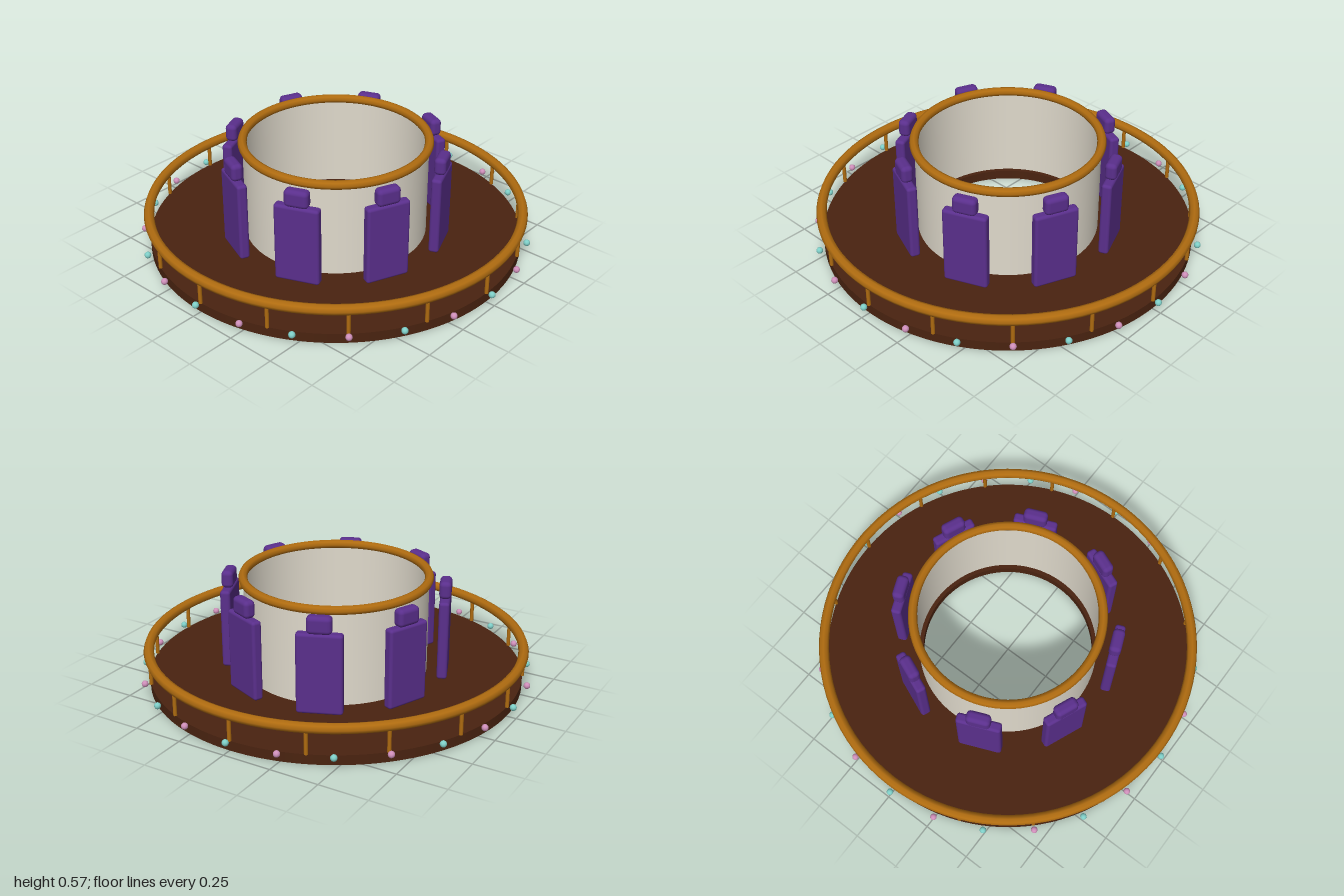
import * as THREE from 'three';
import { RoundedBoxGeometry } from 'three/addons/geometries/RoundedBoxGeometry.js';

function material(name, color, side = THREE.FrontSide) {
  const m = new THREE.MeshStandardMaterial({ color, side });
  m.name = name;
  return m;
}

export function createModel() {
  const model = new THREE.Group();
  model.name = 'ringPlatform';

  const wood = material('dark brown wood', 0x4a2310);
  const brass = material('brass', 0xb06c10);
  const purple = material('purple upholstery', 0x5a2f8c);
  const cream = material('cream wall', 0xe0dacc, THREE.DoubleSide);
  const teal = material('teal bulb', 0x7fcfc8);
  const pink = material('pink bulb', 0xcf8fba);

  function add(name, geometry, mat, parent = model) {
    const mesh = new THREE.Mesh(geometry, mat);
    mesh.name = name;
    parent.add(mesh);
    return mesh;
  }

  // Places count copies around the vertical axis, each facing outwards
  function around(count, offset, build) {
    for (let i = 0; i < count; i++) {
      const spoke = new THREE.Group();
      spoke.rotation.y = ((i + offset) / count) * Math.PI * 2;
      build(spoke, i);
      model.add(spoke);
    }
  }

  // Horizontal ring of round bar
  function ring(name, radius, tube, y) {
    const geometry = new THREE.TorusGeometry(radius, tube, 8, 96).rotateX(Math.PI / 2);
    add(name, geometry, brass).position.y = y;
  }

  // Floor: flat disc with a round hole
  const floorShape = new THREE.Shape().absarc(0, 0, 0.95, 0, Math.PI * 2);
  floorShape.holes.push(new THREE.Path().absarc(0, 0, 0.445, 0, Math.PI * 2, true));
  const floor = new THREE.ExtrudeGeometry(floorShape, {
    depth: 0.05, bevelEnabled: false, curveSegments: 96,
  }).rotateX(-Math.PI / 2);
  add('floor', floor, wood);

  // Central open drum with its rim
  const drum = new THREE.CylinderGeometry(0.466, 0.466, 0.495, 96, 1, true);
  add('drumWall', drum, cream).position.y = 0.2975;
  ring('drumRim', 0.466, 0.023, 0.543);

  // Outer handrail on posts
  ring('handrail', 0.95, 0.026, 0.184);
  const post = new THREE.CylinderGeometry(0.01, 0.01, 0.13, 8);
  around(16, 0, (spoke) => {
    spoke.name = 'railPost';
    add('post', post, brass, spoke).position.set(0, 0.115, 0.95);
  });

  // Padded backs with headrests standing round the drum
  const back = new RoundedBoxGeometry(0.226, 0.412, 0.052, 3, 0.015);
  const headrest = new RoundedBoxGeometry(0.122, 0.09, 0.06, 3, 0.022);
  around(8, 0.5, (spoke) => {
    spoke.name = 'seat';
    add('backPad', back, purple, spoke).position.set(0, 0.257, 0.549);
    add('headrest', headrest, purple, spoke).position.set(0, 0.505, 0.549);
  });

  // Alternating bulbs along the floor edge
  const bulb = new THREE.SphereGeometry(0.017, 10, 8);
  around(24, 0, (spoke, i) => {
    spoke.name = 'edgeLight';
    add('bulb', bulb, i % 2 ? pink : teal, spoke).position.set(0, 0.055, 0.982);
  });

  return model;
}
